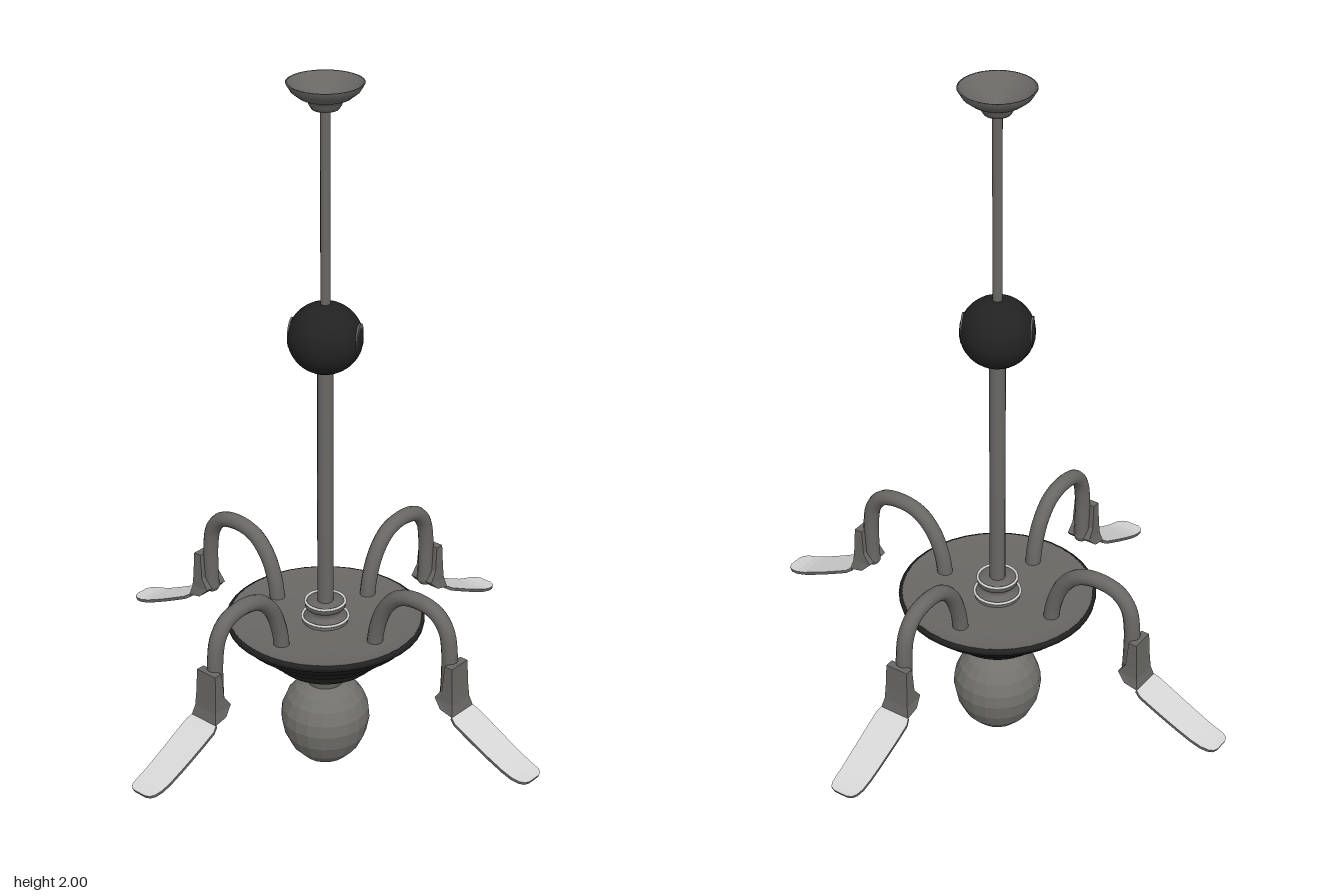
import * as THREE from 'three';

const mat = (name, color, opts = {}) => {
  const m = new THREE.MeshStandardMaterial({ color, ...opts });
  m.name = name;
  return m;
};

export function createModel() {
  const metal = mat('grey metal', 0x686764, { side: THREE.DoubleSide });
  const black = mat('black enamel', 0x222222, { side: THREE.DoubleSide });
  const light = mat('pale grey', 0xd6d6d6);
  const bulbGrey = mat('bulb grey', 0x72716d, { flatShading: true });

  const model = new THREE.Group();
  model.name = 'chandelier';
  const add = (parent, name, geo, material) => {
    const mesh = new THREE.Mesh(geo, material);
    mesh.name = name;
    parent.add(mesh);
    return mesh;
  };
  const lathe = (pts, seg = 32) =>
    new THREE.LatheGeometry(pts.map(p => new THREE.Vector2(...p)), seg);
  const rod = (r, y0, y1) =>
    new THREE.CylinderGeometry(r, r, y1 - y0, 14).translate(0, (y0 + y1) / 2, 0);

  // Ceiling cup, open at the top
  add(model, 'ceilingCup', lathe([[0, 1.932], [0.035, 1.932], [0.043, 1.945], [0.045, 1.956],
    [0.068, 1.964], [0.088, 1.98], [0.1, 2.0], [0.094, 2.0], [0.07, 1.975], [0, 1.95]]), metal);

  // Hanging rods and the ball between them
  add(model, 'upperRod', rod(0.013, 1.39, 1.95), metal);
  add(model, 'lowerRod', rod(0.022, 0.46, 1.23), metal);
  add(model, 'ball', new THREE.SphereGeometry(0.1, 28, 20).scale(1, 0.97, 1).translate(0, 1.31, 0), black);
  const pin = add(model, 'ballPin', new THREE.CylinderGeometry(0.041, 0.041, 0.186, 20).rotateX(Math.PI / 2), metal);
  pin.position.y = 1.315;
  pin.rotation.y = Math.atan2(0.88, -0.47);

  // Dish: black underside and rim, grey top
  add(model, 'dish', lathe([[0, 0.33], [0.135, 0.33], [0.146, 0.34], [0.15, 0.362], [0.185, 0.377],
    [0.215, 0.412], [0.24, 0.424], [0.248, 0.44], [0.272, 0.455], [0.275, 0.468], [0.265, 0.472]], 40), black);
  add(model, 'dishTop', lathe([[0.266, 0.472], [0.22, 0.462], [0, 0.456]], 40), metal);

  // Turned hub on the dish
  add(model, 'hub', lathe([[0.064, 0.456], [0.064, 0.47], [0.04, 0.476], [0.04, 0.497],
    [0.056, 0.502], [0.056, 0.517], [0.022, 0.52]], 24), metal);
  for (const [r, y] of [[0.064, 0.471], [0.055, 0.518]])
    add(model, 'hubRing', new THREE.TorusGeometry(r, 0.004, 6, 28).rotateX(Math.PI / 2).translate(0, y, 0), light);

  // Bulb and its socket
  add(model, 'socket', lathe([[0.075, 0.332], [0.072, 0.31], [0.052, 0.3], [0.05, 0.24]], 24), metal);
  add(model, 'bulb', lathe([[0, 0], [0.03, 0.006], [0.065, 0.025], [0.096, 0.058], [0.116, 0.1],
    [0.125, 0.145], [0.122, 0.18], [0.108, 0.215], [0.085, 0.243], [0.055, 0.26], [0, 0.264]], 20), bulbGrey);

  // Box-section loft. Each station: x, y of the upper face, x, y of the lower face, width
  const loft = stations => {
    const upper = [], rest = [];
    const corners = stations.map(([ux, uy, lx, ly, w]) => [
      [ux, uy, w / 2], [ux, uy, -w / 2], [lx, ly, -w / 2], [lx, ly, w / 2]]);
    const quad = (out, a, b, c, d) => out.push(...a, ...b, ...c, ...a, ...c, ...d);
    for (let i = 0; i + 1 < corners.length; i++) {
      const p = corners[i], q = corners[i + 1];
      for (let k = 0; k < 4; k++)
        quad(k === 0 ? upper : rest, p[k], q[k], q[(k + 1) % 4], p[(k + 1) % 4]);
    }
    const e = corners[corners.length - 1];
    quad(rest, ...corners[0]);
    quad(rest, e[3], e[2], e[1], e[0]);
    const geo = new THREE.BufferGeometry();
    geo.setAttribute('position', new THREE.Float32BufferAttribute([...upper, ...rest], 3));
    geo.addGroup(0, upper.length / 3, 0);
    geo.addGroup(upper.length / 3, rest.length / 3, 1);
    geo.computeVertexNormals();
    return geo;
  };

  const armPath = new THREE.CatmullRomCurve3([[0.178, 0.45], [0.188, 0.51], [0.215, 0.578], [0.262, 0.627],
    [0.325, 0.643], [0.39, 0.63], [0.425, 0.59], [0.437, 0.53], [0.438, 0.46], [0.436, 0.4]]
    .map(([x, y]) => new THREE.Vector3(x, y, 0)));
  const armGeo = new THREE.TubeGeometry(armPath, 40, 0.022, 12);
  const clipGeo = loft([[0.472, 0.505, 0.448, 0.505, 0.066], [0.476, 0.43, 0.442, 0.43, 0.07],
    [0.479, 0.395, 0.42, 0.4, 0.074], [0.486, 0.366, 0.445, 0.375, 0.088]]);
  // Blade: x, height, width along a shallow curve with a rounded tip
  const bladeGeo = loft([[0.484, 0.368, 0.088], [0.5, 0.357, 0.1], [0.54, 0.337, 0.1], [0.58, 0.317, 0.098],
    [0.62, 0.298, 0.096], [0.66, 0.28, 0.093], [0.69, 0.27, 0.09], [0.712, 0.266, 0.082],
    [0.724, 0.264, 0.066], [0.73, 0.264, 0.04]]
    .map(([x, y, w]) => [x, y, x - 0.003, y - 0.008, w]));

  // Four arms, each with a clip and a flared blade
  for (let i = 0; i < 4; i++) {
    const arm = new THREE.Group();
    arm.name = 'arm';
    add(arm, 'armTube', armGeo, metal);
    add(arm, 'armFoot', new THREE.SphereGeometry(0.023, 12, 8).translate(0.436, 0.402, 0), metal);
    add(arm, 'clip', clipGeo, [metal, metal]);
    add(arm, 'blade', bladeGeo, [light, metal]);
    arm.rotation.y = i * Math.PI / 2;
    model.add(arm);
  }
  return model;
}
